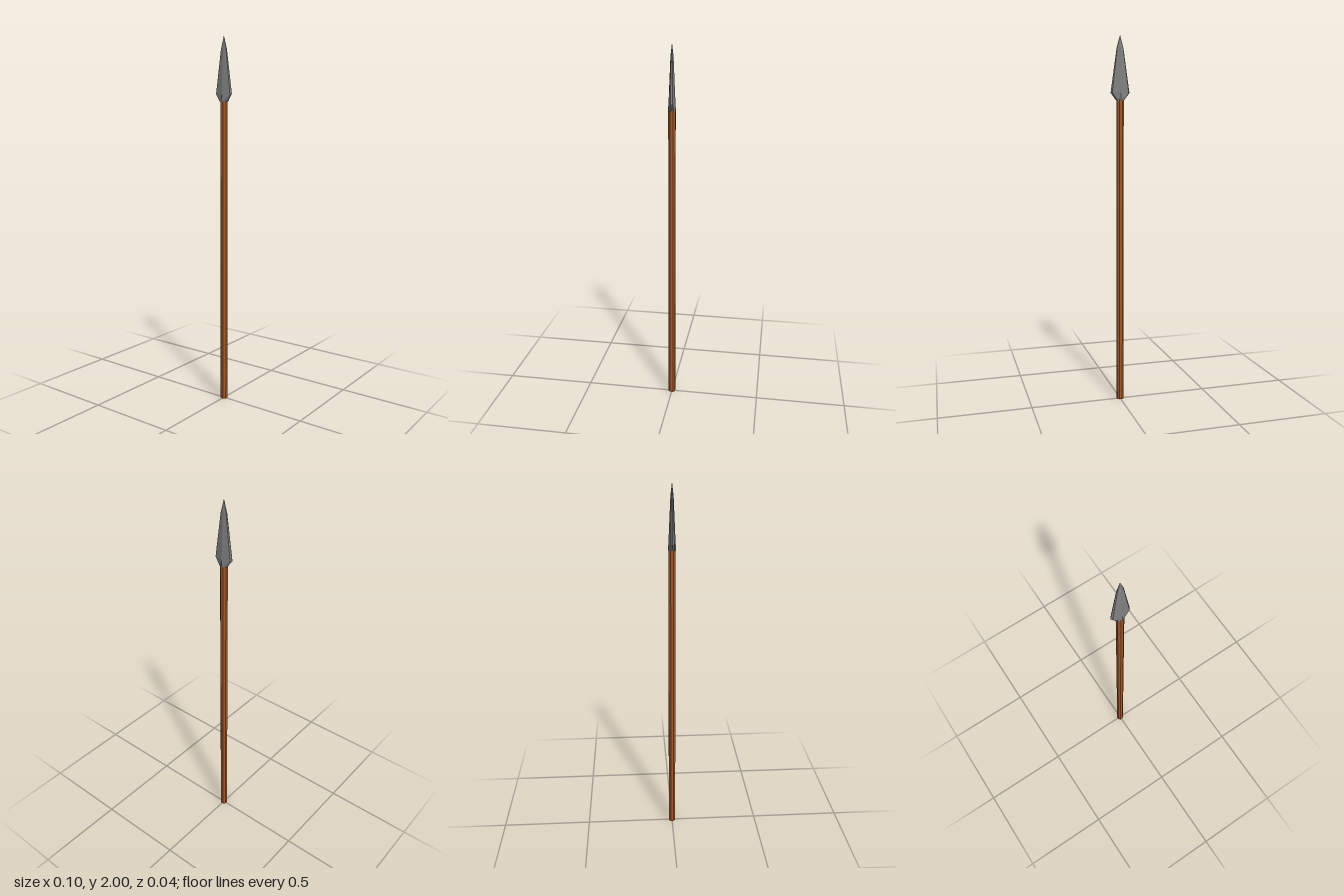
import * as THREE from 'three';

// Low-poly spear: faceted wooden shaft with a ridged leaf-shaped head.
export function createModel() {
  const spear = new THREE.Group();
  spear.name = 'spear';

  // Shaft
  const shaft = new THREE.Mesh(
    new THREE.CylinderGeometry(0.02, 0.02, 1.67, 8).rotateY(Math.PI / 8).translate(0, 0.835, 0),
    new THREE.MeshStandardMaterial({ color: 0xa0592a, flatShading: true })
  );
  shaft.name = 'shaft';
  spear.add(shaft);

  // Head cross-sections: height, half width, ridge depth, bevel depth
  const sections = [
    [1.66, 0.021, 0.021, 0.012],
    [1.70, 0.052, 0.018, 0.009],
    [1.93, 0.019, 0.008, 0.004],
    [2.00, 0, 0, 0]
  ];
  const rings = sections.map(([y, w, ridge, bevel]) => [
    [w, 0], [w * 0.87, -bevel], [0, -ridge], [-w * 0.87, -bevel],
    [-w, 0], [-w * 0.87, bevel], [0, ridge], [w * 0.87, bevel]
  ].map(([x, z]) => [x, y, z]));

  const points = [];
  const n = 8;
  for (let i = 0; i < n; i++) {
    const j = (i + 1) % n;
    points.push([0, 1.66, 0], rings[0][j], rings[0][i]); // underside
    for (let k = 0; k < rings.length - 1; k++) {
      const a = rings[k], b = rings[k + 1];
      points.push(a[i], a[j], b[j]);
      if (k < rings.length - 2) points.push(a[i], b[j], b[i]);
    }
  }
  const geometry = new THREE.BufferGeometry();
  geometry.setAttribute('position', new THREE.Float32BufferAttribute(points.flat(), 3));
  geometry.computeVertexNormals();

  const head = new THREE.Mesh(
    geometry,
    new THREE.MeshStandardMaterial({ color: 0x808080, flatShading: true })
  );
  head.name = 'spearHead';
  spear.add(head);
  return spear;
}
